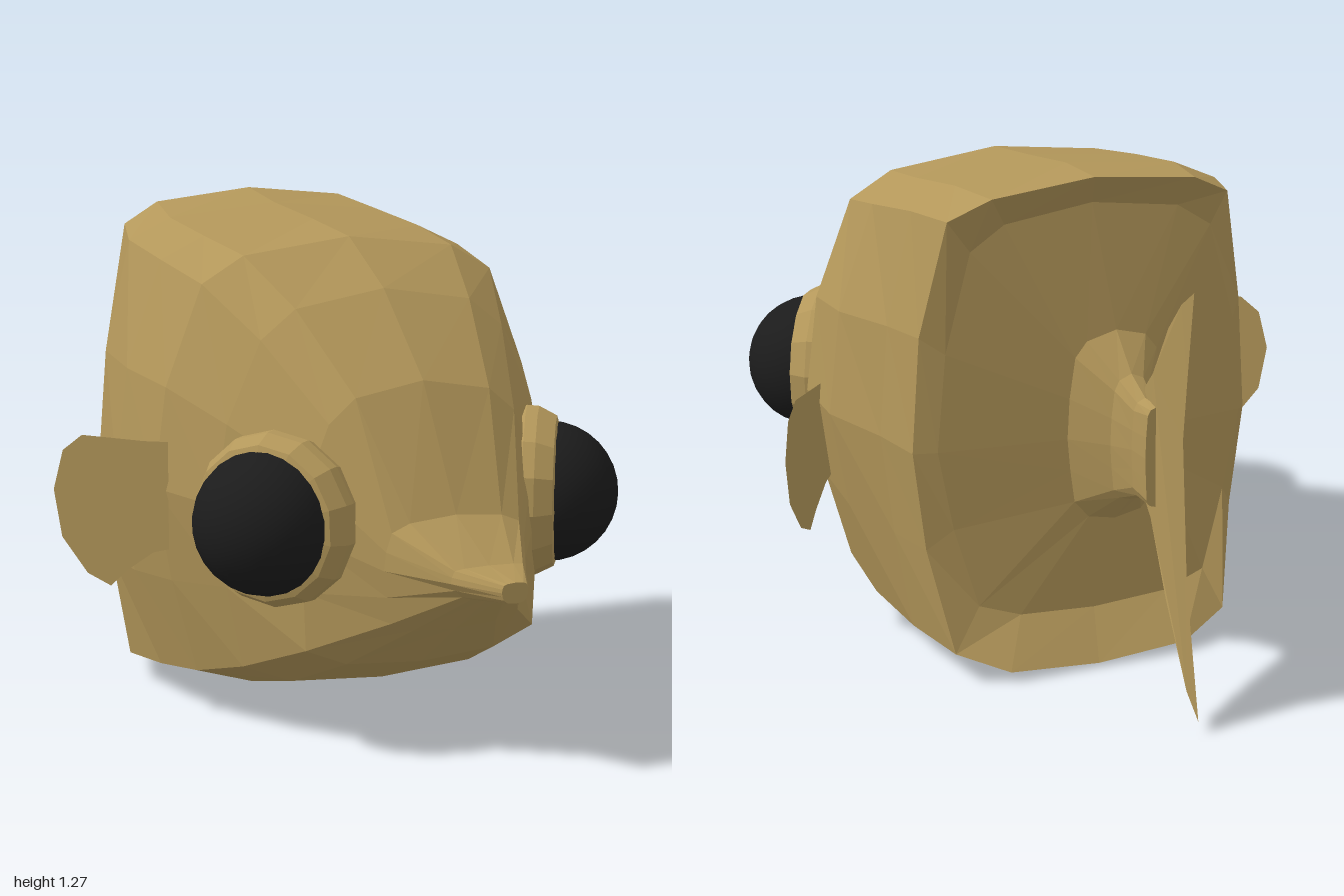
import * as THREE from 'three';

const skin = new THREE.MeshStandardMaterial({ color: 0xb3975a, flatShading: true });
const finSkin = new THREE.MeshStandardMaterial({ color: 0xb3975a, flatShading: true, side: THREE.DoubleSide });
const black = new THREE.MeshStandardMaterial({ color: 0x1c1c1c });

// One 14-point ring: rounded box with top and bottom ridges.
// z: [top, middle, bottom]; w: half widths and y: heights, from top to bottom.
function ring([z, cx, w, y]) {
  const [zt, zm, zb] = z, [wt, wm, wb] = w, [y0, y1, y2, y3, y4] = y;
  const half = [
    [wt * 0.72, y0 * 0.65 + y1 * 0.35, zt],
    [wt, y1, zt * 0.6 + zm * 0.4],
    [wt * 0.25 + wm * 0.75, (y1 + y2) / 2, zm],
    [wm, y2, zm],
    [wm * 0.6 + wb * 0.4, (y2 + y3) / 2, zm],
    [wb, y3, zb * 0.6 + zm * 0.4],
    [wb * 0.65, y3 * 0.25 + y4 * 0.75, zb],
  ];
  const place = s => ([x, py, pz]) => [cx + s * x, py, pz];
  return [[cx, y0, zt], ...half.map(place(1)), [cx, y4, zb], ...half.map(place(-1)).reverse()];
}

// Skin between consecutive rings, back to front, with closed ends.
function loft(rings) {
  const n = rings[0].length, pos = rings.flat(2), idx = [];
  for (let r = 0; r < rings.length - 1; r++) {
    for (let i = 0; i < n; i++) {
      const a = r * n + i, b = r * n + (i + 1) % n;
      idx.push(a, a + n, b, b, a + n, b + n);
    }
  }
  const last = (rings.length - 1) * n;
  for (let i = 1; i < n - 1; i++) idx.push(0, i, i + 1, last, last + i + 1, last + i);
  const g = new THREE.BufferGeometry();
  g.setAttribute('position', new THREE.Float32BufferAttribute(pos, 3));
  g.setIndex(idx);
  const flat = g.toNonIndexed();
  flat.computeVertexNormals();
  return flat;
}

// Flat outline whose points are moved into place by a rule.
function fin(name, outline, rule) {
  const g = new THREE.ShapeGeometry(new THREE.Shape(outline.map(p => new THREE.Vector2(...p))));
  const p = g.attributes.position;
  for (let i = 0; i < p.count; i++) p.setXYZ(i, ...rule(p.getX(i), p.getY(i)));
  g.computeVertexNormals();
  const mesh = new THREE.Mesh(g, finSkin);
  mesh.name = name;
  return mesh;
}

// Eyeball in a stepped socket, facing outwards and a little forwards.
function eye(name, centre, facing) {
  const group = new THREE.Group();
  group.name = name;
  const profile = [[0.19, -0.10], [0.215, -0.03], [0.213, 0.0], [0.19, 0.045], [0.174, 0.05], [0.16, 0.02]];
  const socket = new THREE.Mesh(
    new THREE.LatheGeometry(profile.map(p => new THREE.Vector2(...p)), 14), finSkin);
  socket.name = name + 'Socket';
  const ball = new THREE.Mesh(new THREE.SphereGeometry(0.177, 24, 16), black);
  ball.name = name + 'Ball';
  ball.position.y = 0.025;
  group.add(socket, ball);
  group.position.set(...centre);
  group.quaternion.setFromUnitVectors(new THREE.Vector3(0, 1, 0), new THREE.Vector3(...facing).normalize());
  return group;
}

export function createModel() {
  const model = new THREE.Group();
  model.name = 'fish';

  // Body: tail stalk, hollow rear, overhanging rim, box trunk and snout
  const flat = z => [z, z, z];
  const sections = [
    [flat(-0.62), -0.06, [0.025, 0.03, 0.025], [0.74, 0.72, 0.61, 0.5, 0.48]],
    [flat(-0.55), -0.06, [0.03, 0.035, 0.03], [0.74, 0.71, 0.61, 0.51, 0.48]],
    [flat(-0.48), -0.055, [0.045, 0.055, 0.045], [0.78, 0.74, 0.6, 0.48, 0.45]],
    [flat(-0.40), -0.05, [0.11, 0.13, 0.11], [0.87, 0.81, 0.6, 0.43, 0.37]],
    [[-0.36, -0.365, -0.39], 0, [0.32, 0.41, 0.31], [1.19, 1.1, 0.6, 0.18, 0.13]],
    [[-0.42, -0.35, -0.47], 0.02, [0.37, 0.45, 0.37], [1.27, 1.19, 0.6, 0.08, 0.01]],
    [flat(-0.2), 0, [0.41, 0.5, 0.42], [1.25, 1.17, 0.6, 0.07, 0]],
    [flat(0), 0.02, [0.42, 0.545, 0.43], [1.225, 1.14, 0.6, 0.09, 0.03]],
    [flat(0.2), 0.03, [0.4, 0.53, 0.42], [1.2, 1.1, 0.6, 0.12, 0.06]],
    [flat(0.38), 0.04, [0.33, 0.45, 0.38], [1.09, 0.98, 0.58, 0.17, 0.1]],
    [flat(0.58), 0.05, [0.25, 0.32, 0.31], [0.89, 0.8, 0.54, 0.25, 0.19]],
    [flat(0.74), 0.06, [0.17, 0.19, 0.17], [0.59, 0.56, 0.47, 0.34, 0.31]],
    [flat(0.88), 0.075, [0.09, 0.1, 0.07], [0.495, 0.49, 0.46, 0.425, 0.415]],
    [flat(1.0), 0.08, [0.03, 0.035, 0.03], [0.48, 0.475, 0.458, 0.44, 0.43]],
  ];
  const body = new THREE.Mesh(loft(sections.map(ring)), skin);
  body.name = 'body';
  model.add(body);

  // Tail fin, bending towards the left at its upper tip
  const tail = [[-0.53, 0.76], [-0.6, 0.82], [-0.74, 0.98], [-0.87, 1.08], [-1, 1.15], [-0.9, 0.9],
    [-0.85, 0.74], [-0.85, 0.37], [-0.9, 0.03], [-0.83, 0.08], [-0.7, 0.27], [-0.59, 0.44], [-0.53, 0.48]];
  model.add(fin('tailFin', tail, (z, y) => [-0.065 + 0.21 * (-0.55 - z) * (0.2 + 0.75 * y), y, z]));

  // Side fins, swept backwards: u runs out from the body
  const side = [[-0.04, 0.65], [0.02, 0.65], [0.18, 0.66], [0.23, 0.62], [0.255, 0.52], [0.235, 0.4],
    [0.17, 0.31], [0.11, 0.28], [0.07, 0.32], [0, 0.37], [-0.04, 0.38]];
  model.add(fin('leftSideFin', side, (u, y) => [0.545 + 0.66 * u, y, 0.11 - 0.77 * u]));
  model.add(fin('rightSideFin', side, (u, y) => [-0.51 - 0.81 * u, y + 0.07, 0.215 - 0.58 * u]));

  // Eyes
  model.add(eye('leftEye', [0.42, 0.57, 0.49], [0.85, 0, 0.53]));
  model.add(eye('rightEye', [-0.33, 0.57, 0.535], [-0.8, 0, 0.58]));
  return model;
}
